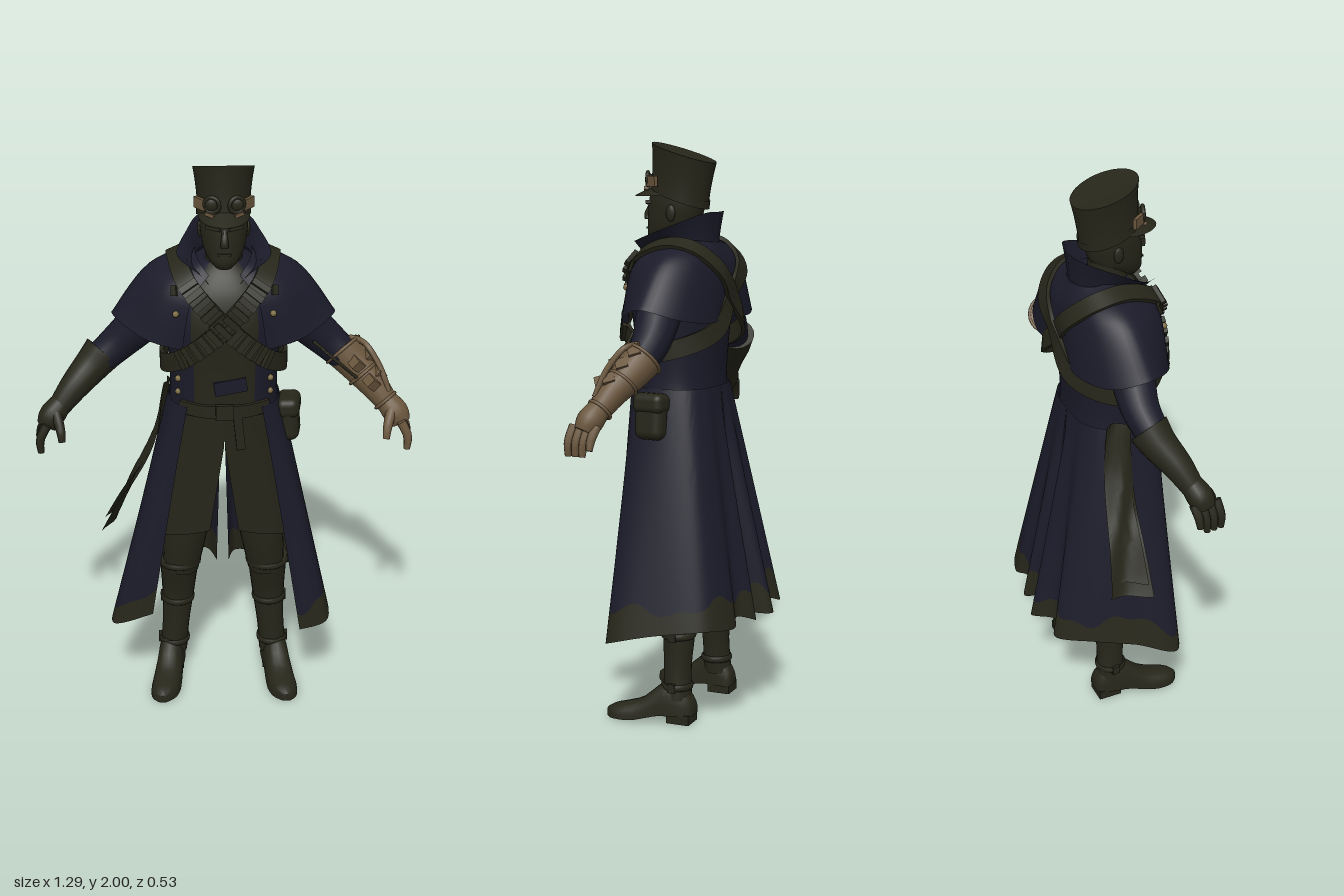
import * as THREE from 'three';
import { toCreasedNormals } from 'three/addons/utils/BufferGeometryUtils.js';
import { RoundedBoxGeometry } from 'three/addons/geometries/RoundedBoxGeometry.js';

const paint = (name, color) => Object.assign(new THREE.MeshStandardMaterial({ color, side: THREE.DoubleSide }), { name });
const V = (x, y, z) => new THREE.Vector3(x, y, z);
const power = (v, e) => Math.sign(v) * Math.abs(v) ** e;

// smooth interpolation through rows of numbers
function sample(rows, t) {
  const n = rows.length - 1, s = Math.min(Math.max(t, 0) * n, n - 1e-6), i = Math.floor(s), k = s - i;
  return rows[i].map((b, j) => {
    const a = rows[Math.max(i - 1, 0)][j], c = rows[i + 1][j], d = rows[Math.min(i + 2, n)][j];
    return b + 0.5 * k * (c - a + k * (2 * a - 5 * b + 4 * c - d + k * (3 * (b - c) + d - a)));
  });
}

export function createModel() {
  const root = new THREE.Group();
  const navy = paint('navy cloth', 0x1b1b2a), olive = paint('dark olive leather', 0x26261a);
  const bronze = paint('bronze', 0x6a563d), brass = paint('brass', 0x7a6b42);

  const add = (name, geo, mat, pos, rot) => {
    const m = new THREE.Mesh(geo, mat);
    m.name = name;
    if (pos) m.position.set(...pos);
    if (rot) m.rotation.set(...rot);
    root.add(m);
    return m;
  };
  const box = (name, size, mat, pos, rot) => add(name, new THREE.BoxGeometry(...size), mat, pos, rot);

  // grid surface from f(u, v); pick chooses which of two materials a quad gets
  function surface(name, nu, nv, f, mat, pick) {
    const pos = [], sets = [[], []], g = new THREE.BufferGeometry();
    for (let j = 0; j <= nv; j++) for (let i = 0; i <= nu; i++) pos.push(...f(i / nu, j / nv));
    for (let j = 0; j < nv; j++) for (let i = 0; i < nu; i++) {
      const a = j * (nu + 1) + i, b = a + nu + 1;
      sets[pick && pick((i + 0.5) / nu, (j + 0.5) / nv) ? 1 : 0].push(a, b, a + 1, b, b + 1, a + 1);
    }
    g.setAttribute('position', new THREE.Float32BufferAttribute(pos, 3));
    g.setIndex([...sets[0], ...sets[1]]);
    if (pick) { g.addGroup(0, sets[0].length, 0); g.addGroup(sets[0].length, sets[1].length, 1); }
    return add(name, toCreasedNormals(g, 0.85), mat);
  }
  const capped = (v, nv) => [Math.min(Math.max((v * nv - 1) / (nv - 2), 0), 1), v === 0 || v === 1 ? 0 : 1];

  // upright body from rows of [y, halfWidth, zBack, zFront]
  const body = (name, rows, mat, e = 1, pick) => surface(name, 60, 26, (u, v) => {
    const [t, k] = capped(v, 26), [y, w, b, f] = sample(rows, t), a = u * Math.PI * 2;
    return [k * w * power(Math.sin(a), e), y, (b + f) / 2 + k * (f - b) / 2 * power(Math.cos(a), e)];
  }, mat, pick);

  // round limb through rows of [x, y, z, radius]
  const limb = (name, rows, mat, nv = 16, nu = 18) => surface(name, nu, nv, (u, v) => {
    const [t, k] = capped(v, nv), [x, y, z, r] = sample(rows, t);
    const dir = V(...sample(rows, Math.min(t + 0.02, 1))).sub(V(...sample(rows, Math.max(t - 0.02, 0)))).normalize();
    const side = dir.clone().cross(V(0, 0, 1)).normalize(), up = side.clone().cross(dir), a = u * Math.PI * 2;
    return V(x, y, z).addScaledVector(side, k * r * Math.cos(a)).addScaledVector(up, k * r * Math.sin(a)).toArray();
  }, mat);

  // strap with a rectangular section along a path, lying flat over the shoulders; returns its frame
  function strap(name, rows, width, thick, mat, closed, nv) {
    const curve = new THREE.CatmullRomCurve3(rows.map(r => V(...r)), closed);
    const frame = t => {
      const p = curve.getPoint(t), d = curve.getTangent(t), out = V(p.x, 2.2 * Math.max(0, p.y - 1.5), p.z - 0.05);
      out.addScaledVector(d, -out.dot(d)).normalize();
      return { p, d, out, side: d.clone().cross(out) };
    };
    surface(name, 4, nv, (u, v) => {
      const { p, out, side } = frame(v), c = Math.round(u * 4) % 4;
      return p.addScaledVector(side, (c === 0 || c === 3 ? 1 : -1) * width / 2)
        .addScaledVector(out, (c < 2 ? 1 : -1) * thick / 2).toArray();
    }, mat);
    return frame;
  }
  const flip = (rows, s) => rows.map(([x, ...r]) => [x * s, ...r]);

  // head, neck and face
  body('neck', [[1.56, 0.085, 0, 0.165], [1.63, 0.065, 0.0, 0.14], [1.72, 0.06, 0.0, 0.13]], olive);
  body('head', [[1.865, 0.078, -0.01, 0.165], [1.8, 0.08, -0.018, 0.178], [1.75, 0.076, -0.01, 0.183],
    [1.71, 0.068, 0.01, 0.184], [1.675, 0.05, 0.06, 0.184], [1.652, 0.028, 0.1, 0.172]], olive, 0.92);
  limb('nose', [[0, 1.79, 0.176, 0.009], [0, 1.755, 0.191, 0.012], [0, 1.738, 0.188, 0.014]], olive, 8, 10);
  box('mouth', [0.045, 0.006, 0.01], olive, [0, 1.708, 0.182]);
  for (const s of [1, -1]) {
    add('ear', new THREE.SphereGeometry(0.022, 12, 10).scale(0.4, 1.3, 0.8), olive, [s * 0.079, 1.76, 0.07]);
    box('brow', [0.05, 0.012, 0.018], olive, [s * 0.036, 1.795, 0.17], [0, s * 0.3, s * 0.12]);
  }

  // tall cap with slanted crown, band and visor
  const capRing = (a, t) => [(0.086 + 0.015 * t * t) * Math.sin(a), 1.808 + 0.157 * t + 0.036 * Math.cos(a),
    0.07 - 0.017 * t + (0.1 + 0.013 * t * t) * Math.cos(a)];
  surface('cap crown', 40, 12, (u, v) => {
    const p = capRing(u * Math.PI * 2, Math.min(v * 12 / 11, 1));
    return v === 1 ? [0, 1.963, 0.053] : p;
  }, olive);
  surface('cap band', 40, 2, (u, v) => {
    const [x, y, z] = capRing(u * Math.PI * 2, v * 0.17);
    return [x * 1.04, y, 0.07 + (z - 0.07) * 1.04];
  }, olive);
  surface('cap visor', 20, 4, (u, v) => {
    const a = (u - 0.5) * 2.5, [x, y, z] = capRing(a, 0.02), out = v * Math.cos(a * 1.25) ** 0.7;
    return [x * (1.04 + 0.1 * out), y - 0.03 * out, z + 0.003 + 0.063 * out];
  }, olive);
  for (const s of [1, -1]) {
    add('goggle rim', new THREE.TorusGeometry(0.025, 0.007, 8, 20), olive, [s * 0.04, 1.873, 0.172], [0, s * 0.35, 0]);
    add('goggle lens', new THREE.SphereGeometry(0.023, 14, 10).scale(1, 1, 0.5), olive, [s * 0.04, 1.873, 0.168]);
    box('goggle clasp', [0.012, 0.036, 0.055], bronze, [s * 0.077, 1.868, 0.14], [0, -s * 0.65, 0]);
    box('goggle hinge', [0.03, 0.011, 0.018], bronze, [s * 0.046, 1.842, 0.174], [0, s * 0.35, s * 0.3]);
  }

  // coat body with a waistcoat showing down the front
  body('coat and waistcoat', [[1.13, 0.19, -0.085, 0.2], [1.2, 0.183, -0.082, 0.205], [1.32, 0.186, -0.09, 0.212],
    [1.45, 0.2, -0.1, 0.22], [1.55, 0.185, -0.1, 0.2], [1.62, 0.13, -0.09, 0.165], [1.66, 0.08, -0.05, 0.13]],
  [navy, olive], 0.85, u => Math.min(u, 1 - u) < 0.083);

  for (const s of [1, -1]) {
    // shoulder cape
    const neck = [[0.05, 1.63, 0.165], [0.08, 1.66, 0.12], [0.095, 1.675, 0.03], [0.085, 1.67, -0.03], [0.05, 1.665, -0.06], [0, 1.66, -0.07]];
    const mid = [[0.11, 1.55, 0.203], [0.2, 1.58, 0.155], [0.255, 1.612, 0.03], [0.2, 1.605, -0.065], [0.1, 1.58, -0.105], [0, 1.57, -0.108]];
    const hem = [[0.14, 1.38, 0.202], [0.265, 1.41, 0.17], [0.375, 1.455, 0.055], [0.32, 1.42, -0.065], [0.17, 1.4, -0.12], [0, 1.41, -0.112]];
    surface('shoulder cape', 30, 14, (u, v) => {
      const [x, y, z] = sample([sample(neck, u), sample(mid, u), sample(hem, u)], v);
      return [s * x, y, z];
    }, navy);

    // stand-up collar
    const low = [[0.05, 1.6, 0.175], [0.09, 1.635, 0.11], [0.092, 1.655, 0.02], [0.06, 1.66, -0.05], [0, 1.66, -0.068]];
    const high = [[0.105, 1.665, 0.195], [0.155, 1.69, 0.12], [0.12, 1.735, 0.01], [0.08, 1.763, -0.06], [0, 1.765, -0.08]];
    surface('collar', 24, 6, (u, v) => {
      const a = sample(low, u), b = sample(high, u), k = v ** 1.3;
      return [s * (a[0] + (b[0] - a[0]) * k), a[1] + (b[1] - a[1]) * v, a[2] + (b[2] - a[2]) * k];
    }, navy);

    // coat skirt, split at front and back, with a ragged trim; the right front corner is pulled out
    const waist = [[0.125, 1.17, 0.198], [0.17, 1.17, 0.15], [0.19, 1.17, 0.05], [0.17, 1.17, -0.03], [0.12, 1.17, -0.07], [0.07, 1.17, -0.082], [0.03, 1.17, -0.085], [0, 1.17, -0.085]];
    const base = s > 0
      ? [[0.27, 0.285, 0.21], [0.372, 0.31, 0.18], [0.365, 0.35, 0.02], [0.315, 0.37, -0.15], [0.2, 0.36, -0.215], [0.12, 0.38, -0.195], [0.05, 0.355, -0.24], [0.025, 0.36, -0.16]]
      : [[0.255, 0.36, 0.21], [0.4, 0.3, 0.17], [0.365, 0.35, 0.02], [0.31, 0.37, -0.12], [0.22, 0.36, -0.23], [0.15, 0.38, -0.2], [0.06, 0.355, -0.26], [0.02, 0.36, -0.16]];
    const skirt = (u, v) => {
      const a = sample(waist, u), b = sample(base, u);
      return [s * (a[0] + (b[0] - a[0]) * v ** 0.95), a[1] + (b[1] - a[1]) * v, a[2] + (b[2] - a[2]) * v];
    };
    const edge = u => 0.895 + 0.03 * Math.sin(u * 19 + s) + 0.014 * Math.sin(u * 47);
    surface('coat skirt', 64, 20, (u, v) => skirt(u, v * edge(u)), navy);
    surface('coat hem trim', 64, 4, (u, v) => skirt(u, edge(u) + v * (1 - edge(u))), olive);

    // waistcoat tails
    surface('waistcoat tail', 10, 12, (u, v) => {
      const inner = 0.05 * Math.max(0, v - 0.3) / 0.7, outer = 0.135 + 0.08 * v;
      return [s * (inner + (outer - inner) * u), 1.18 - v * (0.5 + 0.045 * u), 0.207 - 0.03 * v - 0.055 * u * u];
    }, olive);

    // legs and boots
    limb('trouser leg', flip([[0.085, 1.12, 0.05, 0.09], [0.11, 0.82, 0.055, 0.085], [0.135, 0.62, 0.05, 0.078], [0.155, 0.46, 0.035, 0.066]], s), olive);
    limb('boot shaft', flip([[0.157, 0.5, 0.035, 0.074], [0.16, 0.46, 0.025, 0.069], [0.165, 0.34, 0.004, 0.059], [0.175, 0.2, 0.004, 0.049], [0.185, 0.08, 0, 0.05]], s), olive, 18);
    for (const [x, y, z, r] of [[0.158, 0.485, 0.033, 0.073], [0.167, 0.31, 0.004, 0.057], [0.181, 0.13, 0.004, 0.052]]) {
      add('boot strap', new THREE.TorusGeometry(r, 0.005, 8, 24).scale(1, 1, 2.4), olive, [s * x, y, z], [Math.PI / 2, 0, 0]);
      box('boot buckle', [0.012, 0.032, 0.028], olive, [s * (x + r), y, z]);
    }
    const foot = [[-0.062, 0.028, 0.07], [-0.045, 0.042, 0.1], [0.01, 0.048, 0.15], [0.06, 0.048, 0.125], [0.12, 0.052, 0.075], [0.18, 0.053, 0.054], [0.225, 0.04, 0.043], [0.25, 0.012, 0.028]];
    surface('boot foot', 24, 18, (u, v) => {
      const [t, k] = capped(v, 18), [z, w, h] = sample(foot, t), a = u * Math.PI * 2;
      const arch = 0.025 * Math.min(Math.max((0.15 - z) / 0.1, 0), 1);
      return [s * (0.19 + 0.14 * z) + k * w * power(Math.cos(a), 0.8), 0.004 + arch + k * (h - arch) * Math.max(0, Math.sin(a)) ** 0.8, z];
    }, [olive, navy], u => u > 0.5);
    box('boot heel', [0.08, 0.034, 0.085], olive, [s * 0.188, 0.017, -0.015]);

    // sleeves, gauntlets and hands: plain leather on the right, bronze on the left
    const mat = s > 0 ? bronze : olive;
    limb('sleeve', flip([[0.19, 1.52, 0.04, 0.085], [0.28, 1.415, 0.03, 0.074], [0.36, 1.335, 0.025, 0.063], [0.46, 1.25, 0.05, 0.052]], s), navy);
    limb('gauntlet', flip([[0.41, 1.302, 0.025, 0.07], [0.45, 1.26, 0.045, 0.061], [0.51, 1.2, 0.085, 0.05], [0.56, 1.14, 0.115, 0.039]], s), mat);
    limb('palm', flip([[0.55, 1.155, 0.11, 0.037], [0.585, 1.115, 0.13, 0.045], [0.605, 1.08, 0.142, 0.034]], s), mat, 10);
    for (let i = 0; i < 4; i++) {
      const z = 0.1 + 0.027 * i, long = i === 0 ? 0.85 : 1.1;
      limb('finger', flip([[0.6, 1.1, z, 0.016], [0.624, 1.1 - 0.045 * long, z + 0.008, 0.015], [0.635 - 0.004 * i, 1.1 - 0.088 * long, z + 0.01, 0.011]], s), mat, 9, 10);
    }
    limb('thumb', flip([[0.57, 1.13, 0.15, 0.02], [0.555, 1.085, 0.185, 0.016], [0.55, 1.045, 0.2, 0.012]], s), mat, 9, 10);

    // bandolier over one shoulder with a row of pouches
    const lift = s > 0 ? 0.008 : 0;
    const frame = strap('bandolier', flip([[0.155, 1.662, 0.06], [0.12, 1.605, 0.185], [0, 1.475, 0.23 + lift], [-0.13, 1.36, 0.213], [-0.205, 1.3, 0.1],
      [-0.2, 1.31, 0], [-0.12, 1.37, -0.115], [0, 1.48, -0.12 - lift], [0.1, 1.58, -0.12], [0.155, 1.65, -0.045]], s), 0.064, 0.014, olive, true, 72);
    for (let i = 0; i < 11; i++) {
      const { p, d, out, side } = frame(0.105 + i * 0.02);
      const m = add('cartridge pouch', new THREE.BoxGeometry(0.066, 0.022, 0.022), olive);
      m.quaternion.setFromRotationMatrix(new THREE.Matrix4().makeBasis(side, d, out));
      m.position.copy(p).addScaledVector(out, 0.01);
    }

    // buttons and lapel tabs
    for (const [x, y, z] of [[0.16, 1.51, 0.2], [0.155, 1.26, 0.157], [0.155, 1.21, 0.152]])
      add('coat button', new THREE.SphereGeometry(0.011, 10, 8), brass, [s * x, y, z]);
    box('lapel tab', [0.02, 0.035, 0.01], olive, [s * 0.165, 1.585, 0.18], [-0.4, s * 0.5, 0]);
  }

  // belt, buckle and waistcoat clasp
  strap('belt', [[-0.15, 1.165, 0.17], [-0.08, 1.16, 0.204], [0, 1.16, 0.214], [0.08, 1.16, 0.204], [0.15, 1.165, 0.17]], 0.045, 0.012, olive, false, 24);
  box('belt buckle', [0.06, 0.055, 0.014], olive, [0, 1.16, 0.22]);
  box('belt loop end', [0.03, 0.13, 0.01], olive, [0.05, 1.08, 0.208], [0, 0.1, 0.1]);
  box('waistcoat patch', [0.11, 0.05, 0.008], navy, [0.02, 1.25, 0.209], [0, 0.1, 0.15]);

  // left hip pouch
  add('hip pouch', new RoundedBoxGeometry(0.07, 0.15, 0.11, 3, 0.03), olive, [0.225, 1.075, 0.08], [0, -0.15, 0.08]);
  add('hip pouch flap', new RoundedBoxGeometry(0.08, 0.07, 0.118, 3, 0.025), olive, [0.223, 1.125, 0.08], [0, -0.15, 0.08]);

  // cloth strips hanging from the right hip
  for (const [w, dx, end] of [[0.1, 0, 0.61], [0.08, 0.015, 0.66]])
    surface('hanging cloth', 6, 24, (u, v) => {
      const [x, y] = sample([[-0.195, 1.19], [-0.225, 1.02], [-0.28, 0.88], [-0.34, 0.76], [-0.405, 0.61]], v);
      return [x + dx * v + 0.012 * Math.sin(u * 5 + v * 6) - (u - 0.5) * 0.04 * v, 1.19 - (1.19 - y) * (1.19 - end) / 0.58,
        0.02 - 0.04 * v + (u - 0.5) * w * (0.8 + 0.6 * v)];
    }, olive);

  // bronze gauntlet fittings and the rod to the elbow
  const axis = V(0.15, -0.162, 0.09).normalize();
  for (const [t, r] of [[0, 0.069], [0.45, 0.055], [0.95, 0.041]]) {
    const ring = add('gauntlet ring', new THREE.TorusGeometry(r, 0.006, 8, 24), bronze, [0.41 + 0.15 * t, 1.302 - 0.162 * t, 0.025 + 0.09 * t]);
    ring.quaternion.setFromUnitVectors(V(0, 0, 1), axis);
  }
  for (const [x, y, z] of [[0.46, 1.325, 0.03], [0.49, 1.285, 0.06], [0.525, 1.24, 0.09], [0.45, 1.28, 0.1], [0.5, 1.225, 0.13]])
    box('gauntlet fitting', [0.035, 0.04, 0.04], bronze, [x, y, z], [0.3, 0.4, 0.75]);
  limb('gauntlet pipe', [[0.43, 1.35, 0.03, 0.01], [0.48, 1.34, 0.06, 0.01], [0.53, 1.27, 0.1, 0.01], [0.56, 1.19, 0.125, 0.01]], bronze, 14, 8);
  limb('elbow rod', [[0.3, 1.37, 0.11, 0.006], [0.37, 1.31, 0.12, 0.006], [0.45, 1.24, 0.125, 0.006]], olive, 8, 8);

  return root;
}
